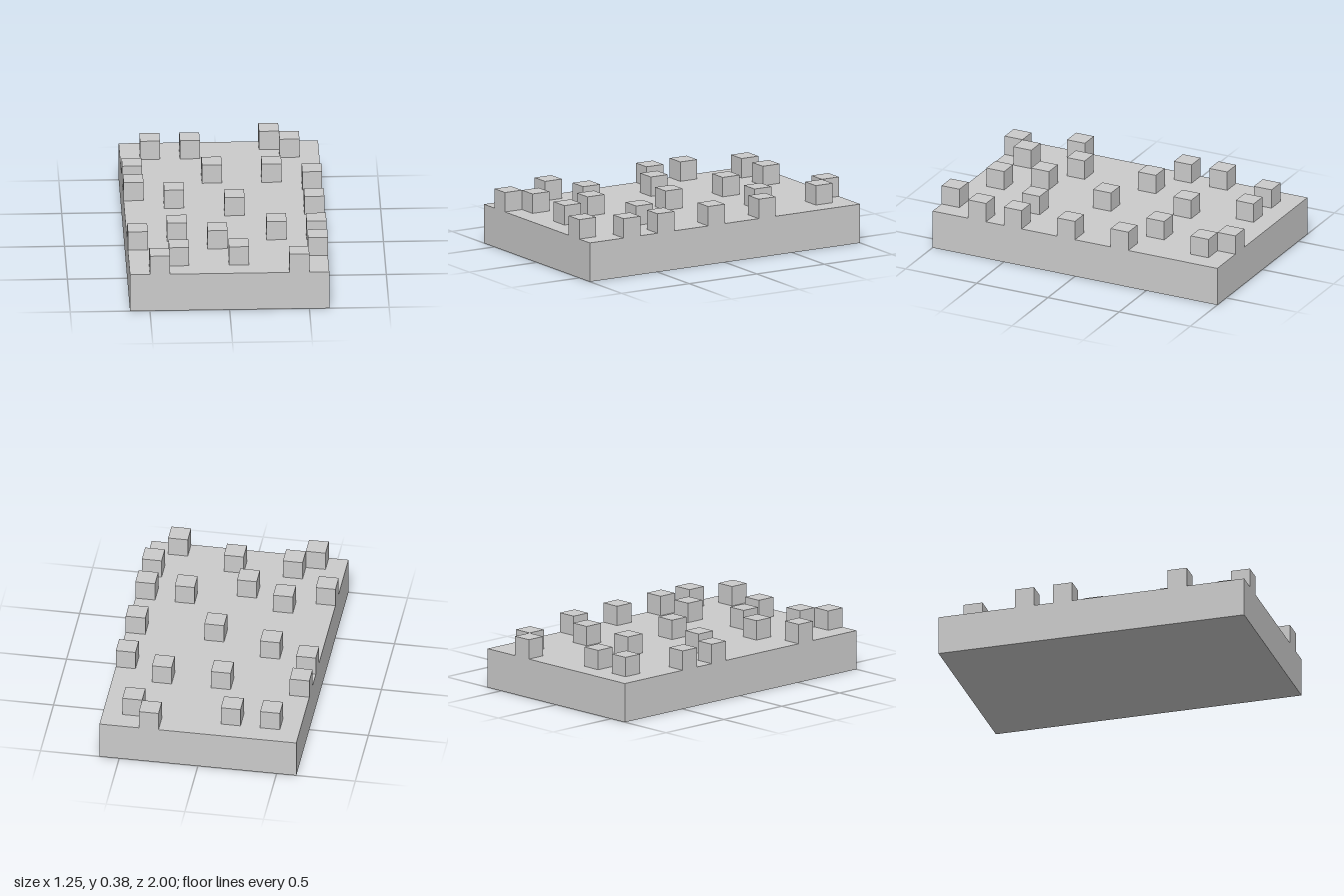
import * as THREE from 'three';

const CELL = 0.125;       // grid cell, also the stud edge length
const COLS = 10, ROWS = 16;
const SLAB_HEIGHT = 2 * CELL;

// Columns holding a stud, listed by row from back to front
const STUDS = {
  0: [7], 1: [1, 3, 8], 4: [0, 4, 7], 5: [9], 6: [0], 7: [2], 8: [5, 9],
  11: [2, 7, 9], 12: [0, 4], 13: [9], 14: [2, 5], 15: [1, 8],
};

export function createModel() {
  const model = new THREE.Group();
  model.name = 'studdedSlab';
  const material = new THREE.MeshStandardMaterial({ color: 0xcccccc, flatShading: true });

  // Base slab
  const slab = new THREE.Mesh(
    new THREE.BoxGeometry(COLS * CELL, SLAB_HEIGHT, ROWS * CELL), material);
  slab.name = 'slab';
  slab.position.y = SLAB_HEIGHT / 2;
  model.add(slab);

  // Cube studs scattered on the grid
  const studs = new THREE.Group();
  studs.name = 'studs';
  const cube = new THREE.BoxGeometry(CELL, CELL, CELL);
  for (const [row, cols] of Object.entries(STUDS)) {
    for (const col of cols) {
      const stud = new THREE.Mesh(cube, material);
      stud.name = 'stud';
      stud.position.set(
        (col + 0.5 - COLS / 2) * CELL,
        SLAB_HEIGHT + CELL / 2,
        (Number(row) + 0.5 - ROWS / 2) * CELL);
      studs.add(stud);
    }
  }
  model.add(studs);
  return model;
}
